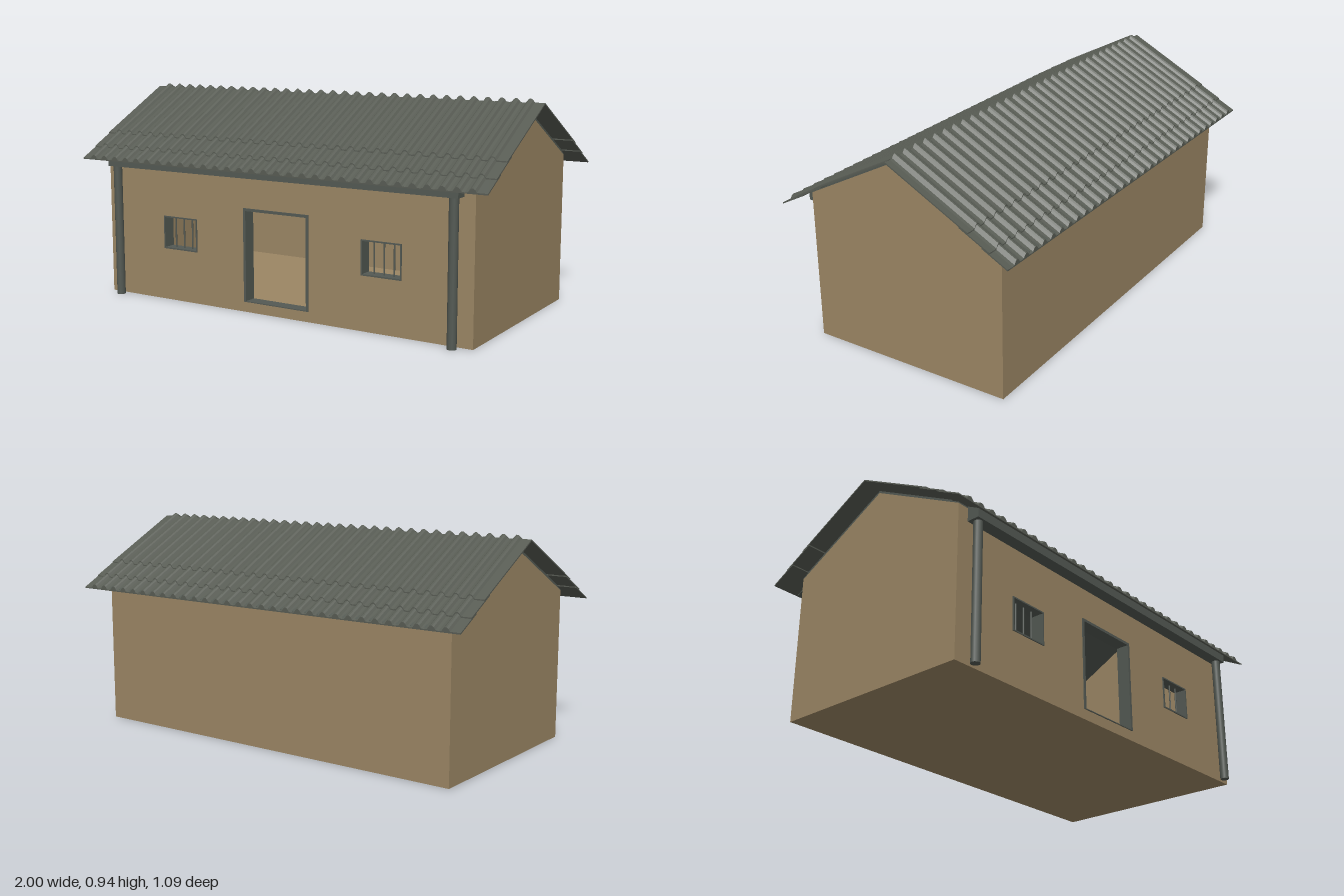
import * as THREE from 'three';

const PITCH = 0.525; // roof fall per unit of z

export function createModel() {
  const house = new THREE.Group();
  house.name = 'house';

  const mat = (name, color) => {
    const m = new THREE.MeshStandardMaterial({ color });
    m.name = name;
    return m;
  };
  const plaster = mat('plaster', 0x9b8664);
  const tile = mat('roofTile', 0x585c54);
  const trim = mat('darkTrim', 0x535953);

  const add = (name, geometry, material, parent = house) => {
    const m = new THREE.Mesh(geometry, material);
    m.name = name;
    parent.add(m);
    return m;
  };
  // Box given by its two extreme corners
  const box = (name, [x0, y0, z0], [x1, y1, z1], material, parent) => {
    const g = new THREE.BoxGeometry(x1 - x0, y1 - y0, z1 - z0);
    g.translate((x0 + x1) / 2, (y0 + y1) / 2, (z0 + z1) / 2);
    return add(name, g, material, parent);
  };
  // Outline of [z, y] points swept along x
  const sweepX = (name, points, x0, x1, material) => {
    const shape = new THREE.Shape(points.map(([z, y]) => new THREE.Vector2(-z, y)));
    const g = new THREE.ExtrudeGeometry(shape, { depth: x1 - x0, bevelEnabled: false });
    g.rotateY(Math.PI / 2).translate(x0, 0, 0);
    return add(name, g, material);
  };

  // Walls and floor
  const X = 0.915, Z = 0.46, T = 0.05, EAVE = 0.657, APEX = 0.898;
  const gable = [[-Z, 0], [Z, 0], [Z, EAVE], [0, APEX], [-Z, EAVE]];
  sweepX('leftGableWall', gable, X - T, X, plaster);
  sweepX('rightGableWall', gable, -X, -X + T, plaster);
  box('backWall', [-X + T, 0, -Z], [X - T, EAVE, -Z + T], plaster);
  box('floor', [-X + T, 0, -Z + T], [X - T, 0.045, Z - T], plaster);

  // Front wall with door and window openings
  const openings = [
    { name: 'door', x0: -0.165, x1: 0.165, y0: 0.045, y1: 0.455, w: 0.012 },
    { name: 'rightWindow', x0: -0.602, x1: -0.417, y0: 0.233, y1: 0.381, w: 0.006 },
    { name: 'leftWindow', x0: 0.417, x1: 0.602, y0: 0.233, y1: 0.381, w: 0.006 },
  ];
  const rect = (Type, x0, y0, x1, y1) => new Type([
    new THREE.Vector2(x0, y0), new THREE.Vector2(x1, y0),
    new THREE.Vector2(x1, y1), new THREE.Vector2(x0, y1)]);
  const front = rect(THREE.Shape, -X + T, 0, X - T, EAVE);
  for (const o of openings) front.holes.push(rect(THREE.Path, o.x0, o.y0, o.x1, o.y1));
  const frontGeo = new THREE.ExtrudeGeometry(front, { depth: T, bevelEnabled: false });
  add('frontWall', frontGeo.translate(0, 0, Z - T), plaster);

  // Frames lining the openings, with bars in the windows
  for (const { name, x0, x1, y0, y1, w } of openings) {
    const g = new THREE.Group();
    g.name = name;
    house.add(g);
    const isDoor = name === 'door';
    const sill = isDoor ? 0.004 : w;
    const frame = rect(THREE.Shape, x0, y0, x1, y1);
    frame.holes.push(rect(THREE.Path, x0 + w, y0 + sill, x1 - w, y1 - w));
    const fg = new THREE.ExtrudeGeometry(frame, { depth: T + 0.008, bevelEnabled: false });
    add(name + 'Frame', fg.translate(0, 0, Z - T - 0.004), trim, g);
    if (isDoor) continue;
    for (let i = 1; i <= 3; i++) {
      const bar = new THREE.CylinderGeometry(0.0035, 0.0035, y1 - y0 - w, 8);
      bar.translate(x0 + (x1 - x0) * i / 4, (y0 + y1) / 2, Z - T / 2);
      add('windowBar', bar, trim, g);
    }
  }

  // Porch posts and the beam they carry
  for (const s of [-1, 1]) {
    const post = new THREE.CylinderGeometry(0.0195, 0.0195, 0.595, 12);
    add('porchPost', post.translate(s * 0.84, 0.2975, 0.493), trim);
  }
  sweepX('porchBeam', [[0.466, 0.593], [0.521, 0.593], [0.521, 0.634], [0.466, 0.661]],
    -0.87, 0.87, trim);

  // Boarding on top of the walls, and the batten under the back eave
  sweepX('roofBoarding', [[-Z, EAVE], [0, APEX], [Z, EAVE],
    [Z, EAVE + 0.01], [0, APEX + 0.01], [-Z, EAVE + 0.01]], -X, X, trim);
  sweepX('backEaveBatten', [[-0.535, 0.619], [-0.46, 0.654], [-0.46, 0.665], [-0.535, 0.628]],
    -0.88, 0.88, trim);

  // Ribbed cross-section of a tile course
  const rib = [[-0.018, 0], [-0.011, 0.01], [-0.004, 0.015], [0.004, 0.015], [0.011, 0.01], [0.018, 0]];
  const ribbed = new THREE.Shape();
  ribbed.moveTo(-1, -0.006);
  ribbed.lineTo(1, -0.006);
  ribbed.lineTo(1, 0);
  for (let k = 15; k >= -15; k--) {
    for (const [dx, h] of rib) ribbed.lineTo(k * 0.0625 - dx, h);
    ribbed.lineTo(k * 0.0625 - 0.03125, -0.002);
  }
  ribbed.lineTo(-1, 0);

  // Three overlapping courses per slope, sheared to the roof pitch
  const courses = [[0, 0.37, 0.92], [0.33, 0.465, 0.915], [0.43, 0.543, 0.91]];
  for (const side of ['front', 'back']) {
    const slope = new THREE.Group();
    slope.name = side + 'RoofSlope';
    if (side === 'back') slope.rotation.y = Math.PI;
    house.add(slope);
    for (const [z0, z1, top] of courses) {
      const g = new THREE.ExtrudeGeometry(ribbed, { depth: z1 - z0, bevelEnabled: false });
      g.translate(0, top, z0);
      const p = g.attributes.position;
      for (let i = 0; i < p.count; i++) p.setY(i, p.getY(i) - PITCH * p.getZ(i));
      g.computeVertexNormals();
      add('tileCourse', g, tile, slope);
    }
  }
  return house;
}
